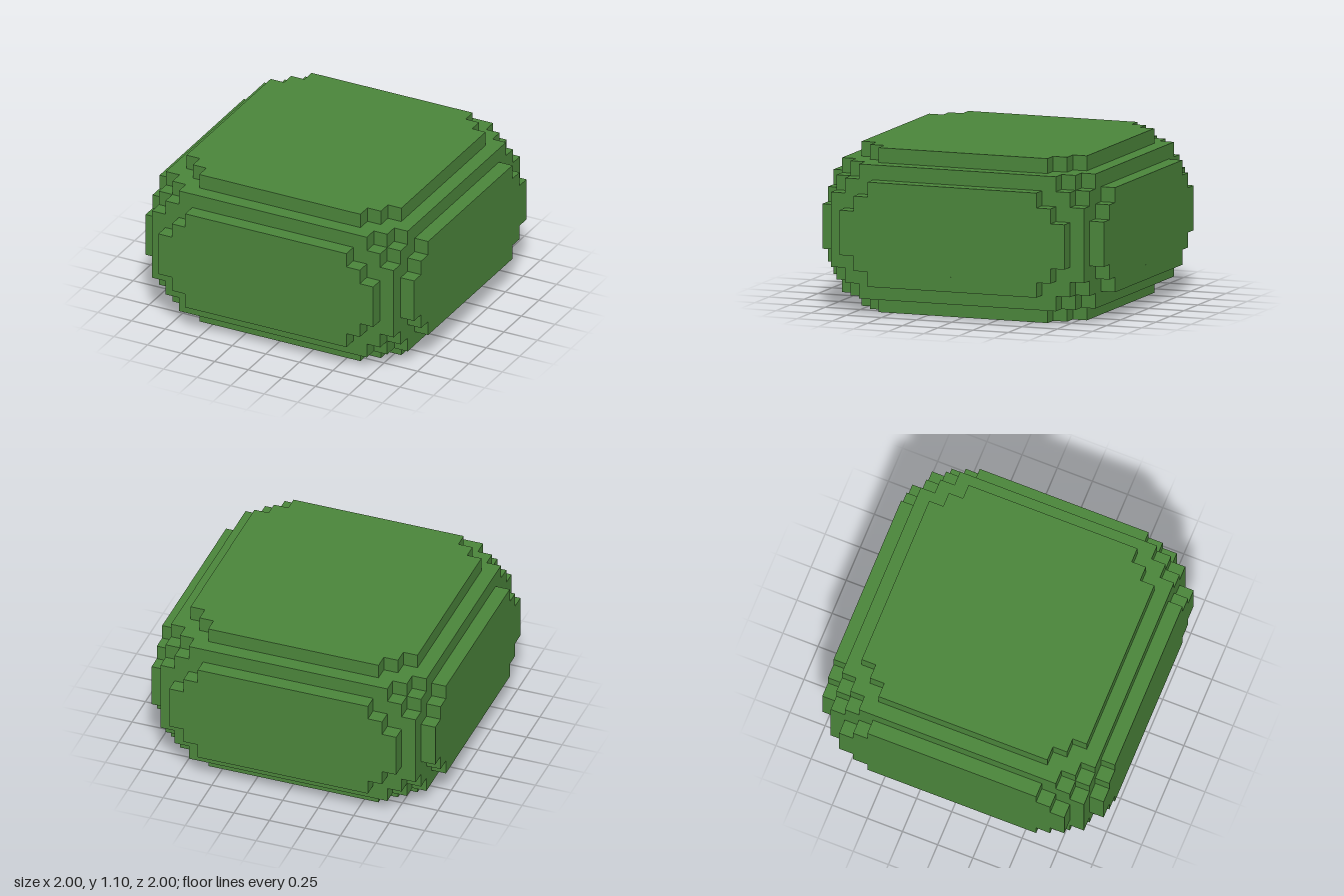
import * as THREE from 'three';

const UNIT = 0.1;

// Stepped corners of each layer: [inset in x, inset in z], in blocks
const LAYERS = [
  { name: 'cap', from: 0, to: 1, corner: [[2, 4], [3, 3], [4, 2]] },
  { name: 'shoulder', from: 1, to: 2, corner: [[1, 3], [2, 2], [3, 1]] },
  { name: 'upperStep', from: 2, to: 3, corner: [[0, 4], [1, 2], [2, 1], [4, 0]] },
  { name: 'innerStep', from: 3, to: 4, corner: [[0, 3], [1, 1], [3, 0]] },
];
const MIDDLE = { name: 'middleBand', from: 4, to: 7, corner: [[0, 2], [1, 1], [2, 0]] };

// Plan outline: one stepped corner mirrored into all four quadrants
function outline(corner) {
  const quarter = [];
  corner.forEach(([i, k], n) => {
    const x = 1 - i * UNIT;
    if (n > 0) quarter.push([x, 1 - corner[n - 1][1] * UNIT]);
    quarter.push([x, 1 - k * UNIT]);
  });
  const back = [...quarter].reverse();
  return new THREE.Shape([
    ...quarter.map(([x, z]) => new THREE.Vector2(x, z)),
    ...back.map(([x, z]) => new THREE.Vector2(-x, z)),
    ...quarter.map(([x, z]) => new THREE.Vector2(-x, -z)),
    ...back.map(([x, z]) => new THREE.Vector2(x, -z)),
  ]);
}

export function createModel() {
  const model = new THREE.Group();
  model.name = 'blockyBush';
  const leafGreen = new THREE.MeshStandardMaterial({ color: 0x4b853b });
  leafGreen.name = 'leafGreen';

  function addLayer(name, corner, bottom, height) {
    const geometry = new THREE.ExtrudeGeometry(outline(corner), {
      depth: height * UNIT,
      bevelEnabled: false,
    });
    geometry.rotateX(-Math.PI / 2);
    const mesh = new THREE.Mesh(geometry, leafGreen);
    mesh.name = name;
    mesh.position.y = bottom * UNIT;
    model.add(mesh);
  }

  // Matching layers below and above the middle
  for (const { name, from, to, corner } of LAYERS) {
    addLayer(name + 'Bottom', corner, from, to - from);
    addLayer(name + 'Top', corner, 11 - to, to - from);
  }
  addLayer(MIDDLE.name, MIDDLE.corner, MIDDLE.from, MIDDLE.to - MIDDLE.from);
  return model;
}
